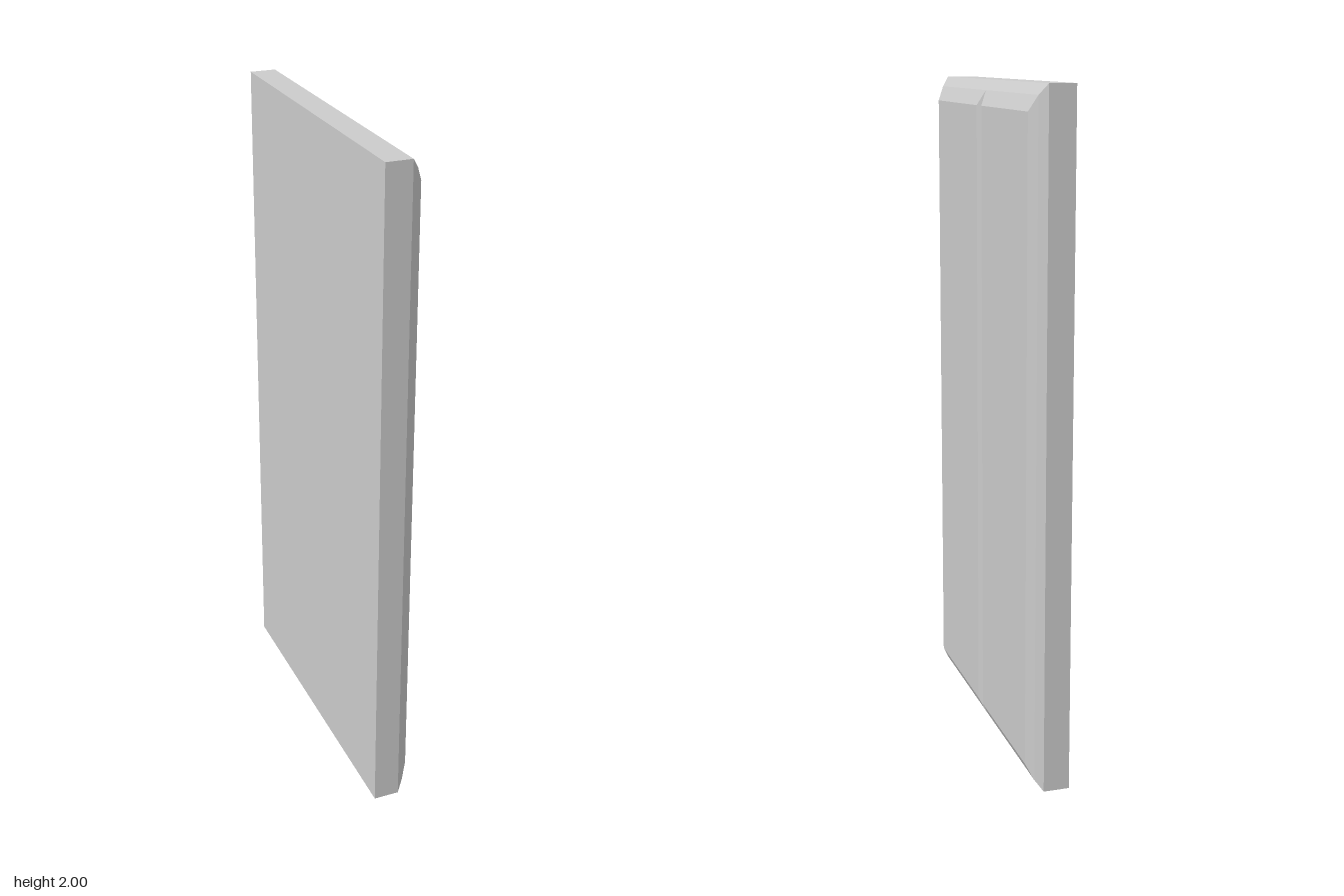
import * as THREE from 'three';

// Cross-sections of one half panel from back to face:
// x = depth, m = inset from bottom and top edges, zi = inner edge, zo = outer edge
const LEVELS = [
  { x: -0.06, m: 0, zi: 0, zo: 0.5 },
  { x: 0.017, m: 0, zi: 0, zo: 0.5 },
  { x: 0.039, m: 0.03, zi: 0, zo: 0.48 },
  { x: 0.06, m: 0.073, zi: 0.024, zo: 0.456 },
];
const HEIGHT = 2;

// One half of the panel; side = +1 or -1 picks the z direction
function halfPanel(side) {
  const positions = [];
  const quad = (a, b, c, d) => {
    const tris = side > 0 ? [a, b, c, a, c, d] : [a, c, b, a, d, c];
    tris.forEach((p) => positions.push(...p));
  };
  const rings = LEVELS.map(({ x, m, zi, zo }) => [
    [x, m, side * zi],
    [x, HEIGHT - m, side * zi],
    [x, HEIGHT - m, side * zo],
    [x, m, side * zo],
  ]);

  // Edges and bevels; the inner side is closed only where the groove opens
  for (let i = 0; i < rings.length - 1; i++) {
    const lo = rings[i], hi = rings[i + 1];
    for (let j = 0; j < 4; j++) {
      const isInner = j === 0;
      if (isInner && i < rings.length - 2) continue;
      const k = (j + 1) % 4;
      quad(lo[j], lo[k], hi[k], hi[j]);
    }
  }
  // Raised face and flat back
  quad(...rings[rings.length - 1]);
  quad(...[...rings[0]].reverse());

  const geometry = new THREE.BufferGeometry();
  geometry.setAttribute('position', new THREE.Float32BufferAttribute(positions, 3));
  geometry.computeVertexNormals();
  return geometry;
}

export function createModel() {
  const group = new THREE.Group();
  group.name = 'groovedPanel';
  const material = new THREE.MeshStandardMaterial({ color: 0xcccccc, flatShading: true });
  for (const [name, side] of [['frontHalfPanel', 1], ['backHalfPanel', -1]]) {
    const mesh = new THREE.Mesh(halfPanel(side), material);
    mesh.name = name;
    group.add(mesh);
  }
  return group;
}
